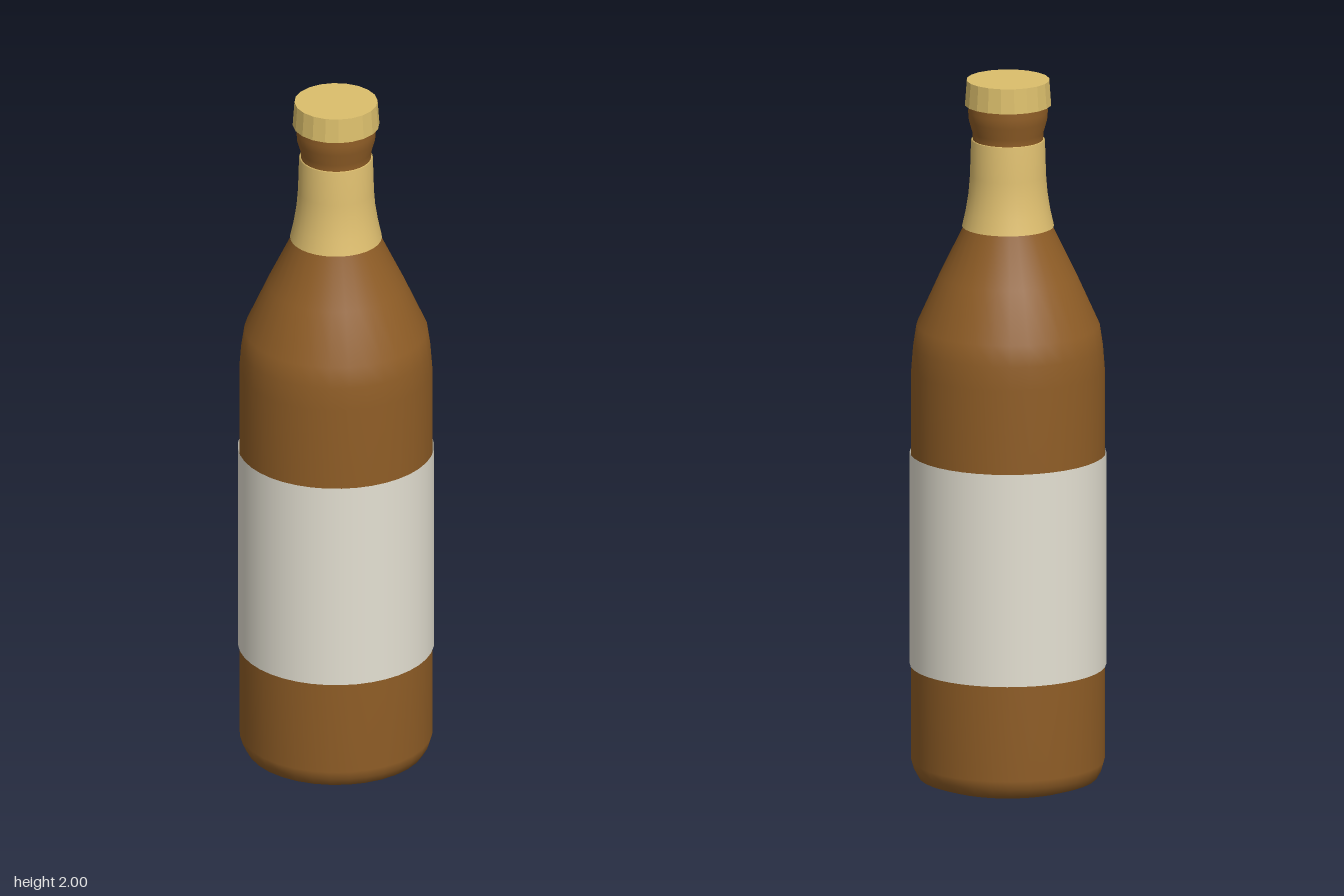
import * as THREE from 'three';

const glass = new THREE.MeshStandardMaterial({ name: 'amberGlass', color: 0x8f5d26 });
const paper = new THREE.MeshStandardMaterial({ name: 'labelPaper', color: 0xe4e0d2, side: THREE.DoubleSide });
const gold = new THREE.MeshStandardMaterial({ name: 'goldFoil', color: 0xe0c070, side: THREE.DoubleSide });
const cap = new THREE.MeshStandardMaterial({ name: 'goldCap', color: 0xdcbf6c, flatShading: true });

// Turned part from [radius, height] pairs, listed bottom to top
function turned(name, profile, material, sides) {
  const points = profile.map(([r, y]) => new THREE.Vector2(r, y));
  const mesh = new THREE.Mesh(new THREE.LatheGeometry(points, sides), material);
  mesh.name = name;
  return mesh;
}

export function createModel() {
  const bottle = new THREE.Group();
  bottle.name = 'bottle';

  // Glass body with rounded foot, sloping shoulder and lip
  bottle.add(turned('body', [
    [0, 0.004], [0.19, 0.004], [0.2, 0.006], [0.247, 0.022], [0.26, 0.045], [0.267, 0.07],
    [0.267, 0.34], [0.267, 0.94], [0.267, 1.18], [0.262, 1.245], [0.253, 1.305],
    [0.19, 1.445], [0.122, 1.585], [0.106, 1.67], [0.1, 1.74], [0.097, 1.83],
    [0.098, 1.85], [0.108, 1.885], [0.11, 1.91], [0.108, 1.94],
  ], glass, 32));

  // Paper label wrapped right round the body
  bottle.add(turned('label', [[0.271, 0.34], [0.271, 0.943]], paper, 40));

  // Foil collar on the neck
  bottle.add(turned('neckFoil', [
    [0.127, 1.585], [0.117, 1.63], [0.109, 1.68], [0.105, 1.73], [0.102, 1.83], [0.097, 1.831],
  ], gold, 32));

  // Faceted cap, a little wider at its skirt
  const top = new THREE.Mesh(new THREE.CylinderGeometry(0.115, 0.12, 0.07, 20), cap);
  top.name = 'cap';
  top.position.y = 1.965;
  bottle.add(top);

  return bottle;
}
